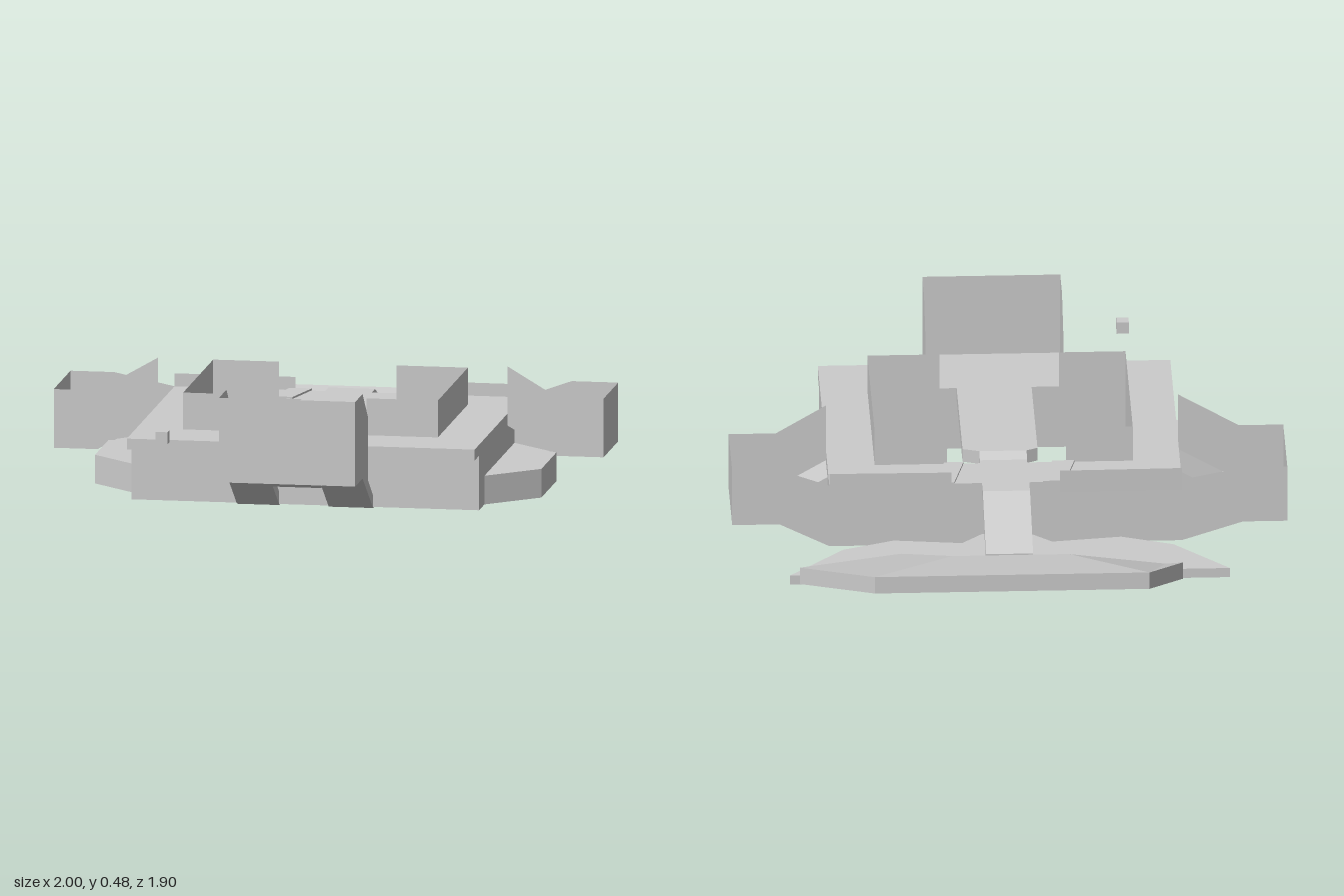
import * as THREE from 'three';

const material = new THREE.MeshStandardMaterial({ color: 0xcccccc, flatShading: true, side: THREE.DoubleSide });

export function createModel() {
  const model = new THREE.Group();

  const add = (name, geometry) => {
    const mesh = new THREE.Mesh(geometry, material);
    mesh.name = name;
    model.add(mesh);
  };
  const path = (pts) => pts.map(([a, b]) => new THREE.Vector2(a, b));
  const extrude = (pts, depth, hole) => {
    const shape = new THREE.Shape(path(pts));
    if (hole) shape.holes.push(new THREE.Path(path(hole)));
    return new THREE.ExtrudeGeometry(shape, { depth, bevelEnabled: false });
  };
  // Plan outline (x, z) given a height range
  const slab = (name, pts, y0, y1, hole) =>
    add(name, extrude(pts, y1 - y0, hole).rotateX(Math.PI / 2).translate(0, y1, 0));
  // Side profile (z, y) given a width range
  const profile = (name, pts, x0, x1) =>
    add(name, extrude(pts, x1 - x0).rotateY(-Math.PI / 2).translate(x1, 0, 0));
  // Thin sheets: each polygon is fanned from its first corner
  const sheets = (name, polygons) => {
    const pos = [];
    for (const p of polygons)
      for (let i = 1; i < p.length - 1; i++) pos.push(...p[0], ...p[i], ...p[i + 1]);
    const g = new THREE.BufferGeometry();
    g.setAttribute('position', new THREE.Float32BufferAttribute(pos, 3));
    g.computeVertexNormals();
    add(name, g);
  };
  const rect = (x0, x1, z0, z1) => [[x0, z0], [x1, z0], [x1, z1], [x0, z1]];

  // Hull ring and overhanging deck around the open well
  const well = rect(-0.45, 0.48, -0.19, 0.455);
  slab('hullRing', rect(-0.62, 0.65, -0.36, 0.57), 0.025, 0.225, well);
  slab('deckRing', rect(-0.62, 0.65, -0.36, 0.665), 0.225, 0.265, well);

  // Slightly raised walkway across the well, and the neck running down to the tail
  slab('walkway', [[-0.07, -0.13], [0.10, -0.13], [0.16, -0.11], [0.16, 0.41], [0.12, 0.46],
    [-0.07, 0.46], [-0.11, 0.41], [-0.11, -0.11]], 0.235, 0.285);
  profile('tailNeck', [[-0.12, 0.285], [-0.13, 0.285], [-0.165, 0.265], [-0.43, 0.265], [-0.71, 0.145],
    [-0.71, 0.105], [-0.43, 0.225], [-0.12, 0.225]], -0.07, 0.10);

  // Thin C-shaped walls on both sides of the well
  for (const [name, outer, inner] of [['rightWellWall', -0.45, -0.21], ['leftWellWall', 0.48, 0.22]]) {
    const line = [[inner, -0.19], [outer, -0.19], [outer, 0.455], [inner, 0.455]];
    sheets(name, line.slice(1).map(([x, z], i) => {
      const [px, pz] = line[i];
      return [[px, 0.225, pz], [x, 0.225, z], [x, 0.4, z], [px, 0.4, pz]];
    }));
  }

  // Thin rear parapets, and low skewed ridges across the deck beside the neck
  for (const [side, outer, inner, x0, x1] of [['right', -0.62, -0.18, -0.20, -0.12], ['left', 0.65, 0.21, 0.20, 0.27]]) {
    sheets(side + 'RearParapet', [[[outer, 0.225, -0.362], [inner, 0.225, -0.367], [inner, 0.312, -0.367], [outer, 0.312, -0.362]]]);
    slab(side + 'DeckRidge', [[x0, -0.365], [x1, -0.365], [x1 - 0.04, -0.192], [x0 - 0.04, -0.192]], 0.26, 0.272);
  }

  // Low side pods
  for (const [name, inner, outer, back] of [['rightSidePod', -0.62, -0.80, 0], ['leftSidePod', 0.65, 0.83, -0.03]])
    slab(name, [[inner, 0.455], [outer, 0.29], [outer, back], [inner, -0.19]], 0.025, 0.13);

  // Open-topped outboard bins on sloping arms
  for (const [name, i, m, o, front, lo] of [['rightBin', -0.62, -0.84, -1, 0, 0.095], ['leftBin', 0.65, 0.83, 1, -0.045, 0.115]]) {
    const hi = lo + 0.215, back = -0.36, mid = -0.19;
    const at = (z, pts) => pts.map(([x, y]) => [x, y, z]);
    const strip = (xa, ya, xb, yb, z0, z1) => [[xa, ya, z0], [xb, yb, z0], [xb, yb, z1], [xa, ya, z1]];
    sheets(name, [
      at(front, [[m, lo], [i, 0.22], [i, 0.437], [m, hi], [o, hi], [o, lo]]),
      at(back, [[m, hi], [o, hi], [o, lo], [m, lo], [i, 0.025], [i, 0.265]]),
      at(mid, [[m, lo], [i, 0.025], [i, 0.22]]),
      strip(o, lo, o, hi, back, front),
      strip(m, lo, o, lo, back, front),
      strip(m, lo, i, 0.22, mid, front),
      strip(m, lo, i, 0.025, back, mid),
    ]);
  }

  // Front shield: thin walls, open at the top and rear
  const [sx0, sx1] = [-0.235, 0.262];
  const cheek = (x) => [[0.79, 0.17], [0.948, 0.17], [0.948, 0.48], [0.79, 0.48], [0.67, 0.37], [0.67, 0.1]]
    .map(([z, y]) => [x, y, z]);
  sheets('frontShield', [
    cheek(sx0), cheek(sx1),
    [[sx0, 0.17, 0.948], [sx1, 0.17, 0.948], [sx1, 0.48, 0.948], [sx0, 0.48, 0.948]],
    [[sx0, 0.17, 0.79], [sx1, 0.17, 0.79], [sx1, 0.17, 0.948], [sx0, 0.17, 0.948]],
    [[-0.08, 0.17, 0.79], [0.1, 0.17, 0.79], [0.1, 0.115, 0.71], [-0.08, 0.115, 0.71]],
  ]);
  for (const [name, x0, x1] of [['rightShieldArm', sx0, -0.08], ['leftShieldArm', 0.1, sx1]])
    profile(name, [[0.79, 0.17], [0.67, 0.14], [0.57, 0.07], [0.55, 0.02], [0.565, 0.02]], x0, x1);

  // Small floating block ahead of the deck
  add('smallBlock', new THREE.BoxGeometry(0.044, 0.044, 0.044).translate(-0.456, 0.313, 0.862));

  // Flat lower tail plate, joined to the hull by a short tongue
  slab('tailPlate', [[-0.78, -0.687], [-0.585, -0.475], [-0.40, -0.403], [-0.15, -0.435], [-0.07, -0.36],
    [0.10, -0.36], [0.175, -0.435], [0.42, -0.403], [0.605, -0.475], [0.805, -0.687]], 0.027, 0.063);

  // Swept, folded rear wing
  const A = [-0.48, 0.173, -0.95], B = [0.51, 0.173, -0.95], C = [0.77, 0.095, -0.69], G = [0.40, 0.09, -0.575],
    D = [0.22, 0.14, -0.71], E = [-0.2, 0.14, -0.71], H = [-0.25, 0.068, -0.645], J = [-0.55, 0.065, -0.645], F = [-0.61, 0.09, -0.69];
  const down = ([x, y, z]) => [x, y - 0.065, z];
  const top = [[A, E, D, B], [B, D, G], [B, G, C], [A, F, J], [A, J, E], [J, H, E]];
  const rim = [A, B, C, G, D, E, H, J, F];
  sheets('rearWing', [
    ...top,
    ...top.map((p) => p.map(down).reverse()),
    ...rim.map((p, i) => {
      const q = rim[(i + 1) % rim.length];
      return [p, q, down(q), down(p)];
    }),
  ]);

  return model;
}
